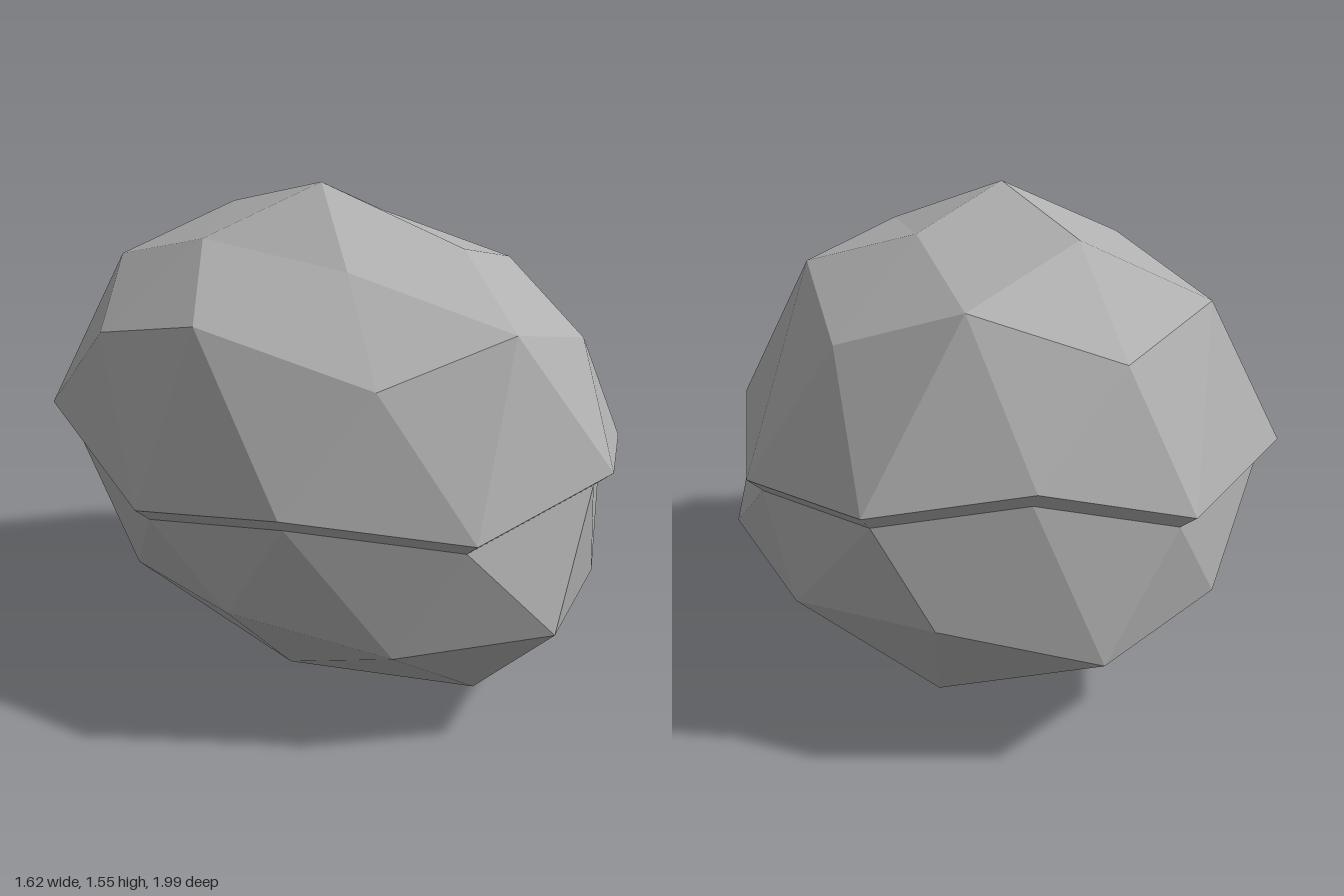
import * as THREE from 'three';

// Shared waistline, running from the front round by the model's left
const rim = [
  [0.16, 0.81, 0.99], [0.57, 0.77, 0.69], [0.81, 0.74, -0.06], [0.68, 0.81, -0.63], [0.31, 0.91, -0.91],
  [-0.13, 0.79, -1.0], [-0.69, 0.81, -0.67], [-0.81, 0.66, 0.05], [-0.70, 0.76, 0.59], [-0.32, 0.70, 0.94],
];
// Upper rock: ring of ten, ring of five, tip
const upper = {
  ring: [
    [0.27, 1.14, 0.77], [0.46, 1.30, 0.30], [0.60, 1.18, -0.27], [0.36, 1.32, -0.61], [0.02, 1.20, -0.87],
    [-0.40, 1.28, -0.67], [-0.70, 1.11, -0.30], [-0.72, 1.22, 0.25], [-0.47, 1.09, 0.71], [-0.10, 1.21, 0.85],
  ],
  inner: [[0.07, 1.38, 0.48], [0.25, 1.43, -0.08], [-0.07, 1.45, -0.48], [-0.43, 1.39, -0.13], [-0.34, 1.35, 0.44]],
  tip: [-0.10, 1.55, 0.03],
};
// Lower rock, starting one step further round
const lower = {
  ring: [
    [0.74, 0.45, 0.31], [0.74, 0.41, -0.25], [0.52, 0.49, -0.74], [0.10, 0.37, -0.93], [-0.34, 0.45, -0.83],
    [-0.64, 0.36, -0.24], [-0.65, 0.37, 0.27], [-0.42, 0.33, 0.73], [-0.03, 0.37, 0.97], [0.40, 0.375, 0.75],
  ],
  inner: [[0.53, 0.115, 0.20], [0.38, 0.13, -0.47], [-0.16, 0.14, -0.48], [-0.36, 0.085, 0.19], [0.04, 0.03, 0.60]],
  tip: [0.13, 0, -0.02],
};

// Mesh from a list of triangles, each three corners
function facetMesh(name, triangles, material, flip = false) {
  const corners = triangles.flatMap(([a, b, c]) => (flip ? [a, c, b] : [a, b, c]));
  const geometry = new THREE.BufferGeometry();
  geometry.setAttribute('position', new THREE.Float32BufferAttribute(corners.flat(), 3));
  geometry.computeVertexNormals();
  const mesh = new THREE.Mesh(geometry, material);
  mesh.name = name;
  return mesh;
}

// Facets of half a once-divided icosahedron
function domeTriangles(edge, { ring, inner, tip }) {
  const triangles = [];
  for (let k = 0; k < 10; k++) {
    const n = (k + 1) % 10;
    triangles.push([edge[k], edge[n], ring[k]], [ring[k], edge[n], ring[n]]);
  }
  for (let i = 0; i < 5; i++) {
    const a = inner[i], b = inner[(i + 1) % 5];
    const r0 = ring[2 * i], r1 = ring[2 * i + 1], r2 = ring[(2 * i + 2) % 10];
    triangles.push([r0, r1, a], [a, r1, b], [r1, r2, b], [a, b, tip]);
  }
  return triangles;
}

export function createModel() {
  const group = new THREE.Group();
  group.name = 'splitRock';
  const stone = new THREE.MeshStandardMaterial({ color: 0xb0b0b0 });
  stone.name = 'grey stone';
  stone.flatShading = true;

  // The lower half meets the overhang on a slightly smaller rim
  const lowerRim = rim.map((p) => p.map((v) => v * 0.94));
  const shiftedRim = [...lowerRim.slice(1), lowerRim[0]];

  // Underside of the overhang
  const ledge = [];
  for (let k = 0; k < 10; k++) {
    const n = (k + 1) % 10;
    ledge.push([lowerRim[k], lowerRim[n], rim[k]], [rim[k], lowerRim[n], rim[n]]);
  }

  group.add(
    facetMesh('upperRock', domeTriangles(rim, upper), stone),
    facetMesh('overhangLedge', ledge, stone),
    facetMesh('lowerRock', domeTriangles(shiftedRim, lower), stone, true),
  );
  return group;
}
